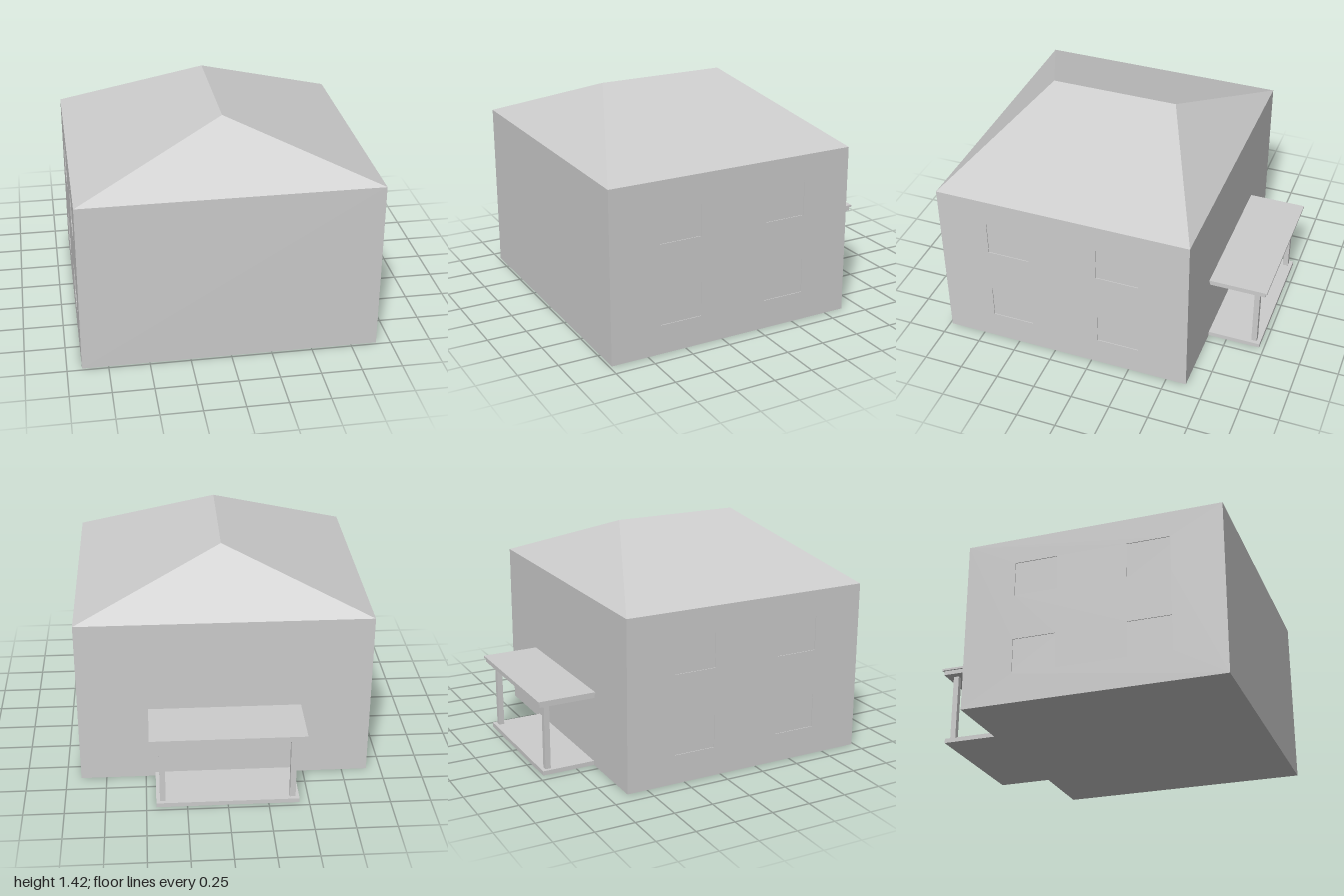
import * as THREE from 'three';

export function createModel() {
  const house = new THREE.Group();
  house.name = 'house';
  const plaster = new THREE.MeshStandardMaterial({ color: 0xcccccc });
  plaster.name = 'plain grey';

  const W = 0.91, FRONT = 0.985, BACK = -0.63, EAVE = 1.08, RECESS = 0.005;

  function add(name, geometry) {
    const mesh = new THREE.Mesh(geometry, plaster);
    mesh.name = name;
    house.add(mesh);
    return mesh;
  }

  // box given by its min and max corners
  function block(name, x0, x1, y0, y1, z0, z1) {
    const mesh = add(name, new THREE.BoxGeometry(x1 - x0, y1 - y0, z1 - z0));
    mesh.position.set((x0 + x1) / 2, (y0 + y1) / 2, (z0 + z1) / 2);
  }

  // solid core; its sides form the backs of the window recesses
  block('houseBody', -W + RECESS, W - RECESS, 0, EAVE, BACK, FRONT);

  // outer skins of the two side walls, with shallow window openings
  function sideWall(name, x) {
    // shape is drawn in (-z, y), then turned to face along x
    const wall = new THREE.Shape();
    wall.moveTo(-FRONT, 0).lineTo(-BACK, 0).lineTo(-BACK, EAVE).lineTo(-FRONT, EAVE).closePath();
    for (const z of [0.395, -0.315]) {
      for (const y of [0.185, 0.695]) {
        const hole = new THREE.Path();
        hole.moveTo(-z - 0.27, y).lineTo(-z - 0.27, y + 0.22).lineTo(-z, y + 0.22).lineTo(-z, y).closePath();
        wall.holes.push(hole);
      }
    }
    const geometry = new THREE.ExtrudeGeometry(wall, { depth: RECESS, bevelEnabled: false });
    geometry.rotateY(Math.PI / 2);
    add(name, geometry).position.x = x;
  }
  sideWall('leftWall', W - RECESS);
  sideWall('rightWall', -W);

  // hipped roof: four eave corners and two ridge ends
  const a = [-W, EAVE, FRONT], b = [W, EAVE, FRONT], c = [W, EAVE, BACK], d = [-W, EAVE, BACK];
  const r = [0, 1.425, 0.585], s = [0, 1.425, -0.23];
  const faces = [[a, b, r], [c, d, s], [b, c, s], [b, s, r], [d, a, r], [d, r, s], [a, d, c], [a, c, b]];
  const roof = new THREE.BufferGeometry();
  roof.setAttribute('position', new THREE.Float32BufferAttribute(faces.flat(2), 3));
  roof.computeVertexNormals();
  add('hippedRoof', roof);

  // back porch: floor slab, stepped canopy and two square posts
  block('porchFloor', -0.44, 0.44, 0, 0.028, -0.97, BACK);
  block('canopyBase', -0.465, 0.465, 0.455, 0.482, -0.99, BACK);
  block('canopyTop', -0.475, 0.475, 0.482, 0.495, -1, BACK);
  for (const x of [-0.4, 0.4]) block('porchPost', x - 0.0175, x + 0.0175, 0.028, 0.455, -0.945, -0.91);

  return house;
}
